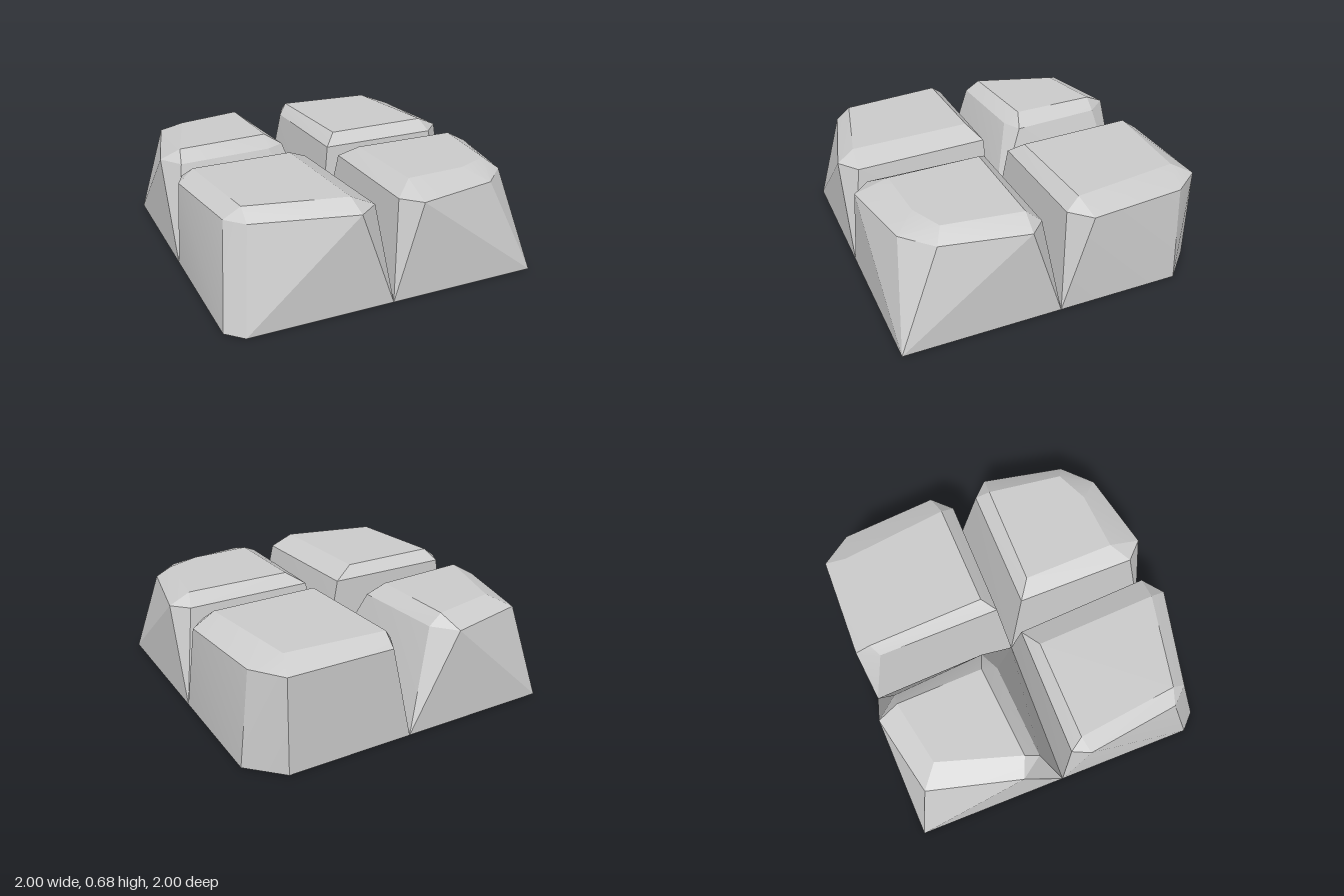
import * as THREE from 'three';
import { ConvexGeometry } from 'three/addons/geometries/ConvexGeometry.js';
import { toCreasedNormals } from 'three/addons/utils/BufferGeometryUtils.js';

const MID = 0.61;  // height of the shoulder, where the bevel begins
const TOP = 0.68;  // height of the flat top

// Each stone: [x, z] corners of its footprint, shoulder and top
const stones = [
  {
    name: 'backRightStone',
    base: [[-1, -1], [-0.01, -1], [0, 0.01], [-1, -0.01]],
    shoulder: [[-0.85, -0.88], [-0.34, -1], [-0.22, -0.86], [-0.17, -0.26],
      [-0.29, -0.2], [-0.9, -0.16], [-1, -0.3]],
    top: [[-0.72, -0.77], [-0.3, -0.86], [-0.28, -0.3], [-0.88, -0.25]],
  },
  {
    name: 'backLeftStone',
    base: [[-0.01, -1], [0.8, -1], [1, -0.8], [1, 0], [0, 0.01]],
    shoulder: [[0.13, -1], [0.8, -1], [0.94, -0.81], [1, -0.19],
      [0.88, -0.07], [0.08, -0.06], [0.06, -0.86]],
    top: [[0.12, -0.9], [0.75, -0.86], [0.85, -0.16], [0.16, -0.14]],
  },
  {
    name: 'frontRightStone',
    base: [[-1, -0.01], [0, 0.01], [0.02, 1], [-0.9, 1], [-1, 0.9]],
    shoulder: [[-1, 0.14], [-0.95, 0.03], [-0.12, 0.03], [-0.14, 0.1],
      [-0.07, 0.9], [-0.2, 1], [-0.82, 0.85], [-0.92, 0.74]],
    top: [[-0.9, 0.11], [-0.26, 0.1], [-0.22, 0.89], [-0.82, 0.76]],
  },
  {
    name: 'frontLeftStone',
    base: [[0, 0.01], [1, 0], [1, 1], [0.02, 1]],
    shoulder: [[0.08, 0.11], [0.9, 0.1], [1, 0.2], [0.9, 0.73],
      [0.72, 0.9], [0.2, 1], [0.09, 0.89]],
    top: [[0.19, 0.19], [0.87, 0.19], [0.81, 0.68], [0.6, 0.77], [0.21, 0.79]],
  },
];

const ring = (corners, y) => corners.map(([x, z]) => new THREE.Vector3(x, y, z));

export function createModel() {
  const group = new THREE.Group();
  group.name = 'pavingStones';
  const material = new THREE.MeshStandardMaterial({ color: 0xcccccc });

  // Wrap a faceted hull around the three rings of every stone
  for (const { name, base, shoulder, top } of stones) {
    const hull = new ConvexGeometry([
      ...ring(base, 0), ...ring(shoulder, MID), ...ring(top, TOP),
    ]);
    const stone = new THREE.Mesh(toCreasedNormals(hull, 0.3), material);
    stone.name = name;
    group.add(stone);
  }
  return group;
}
